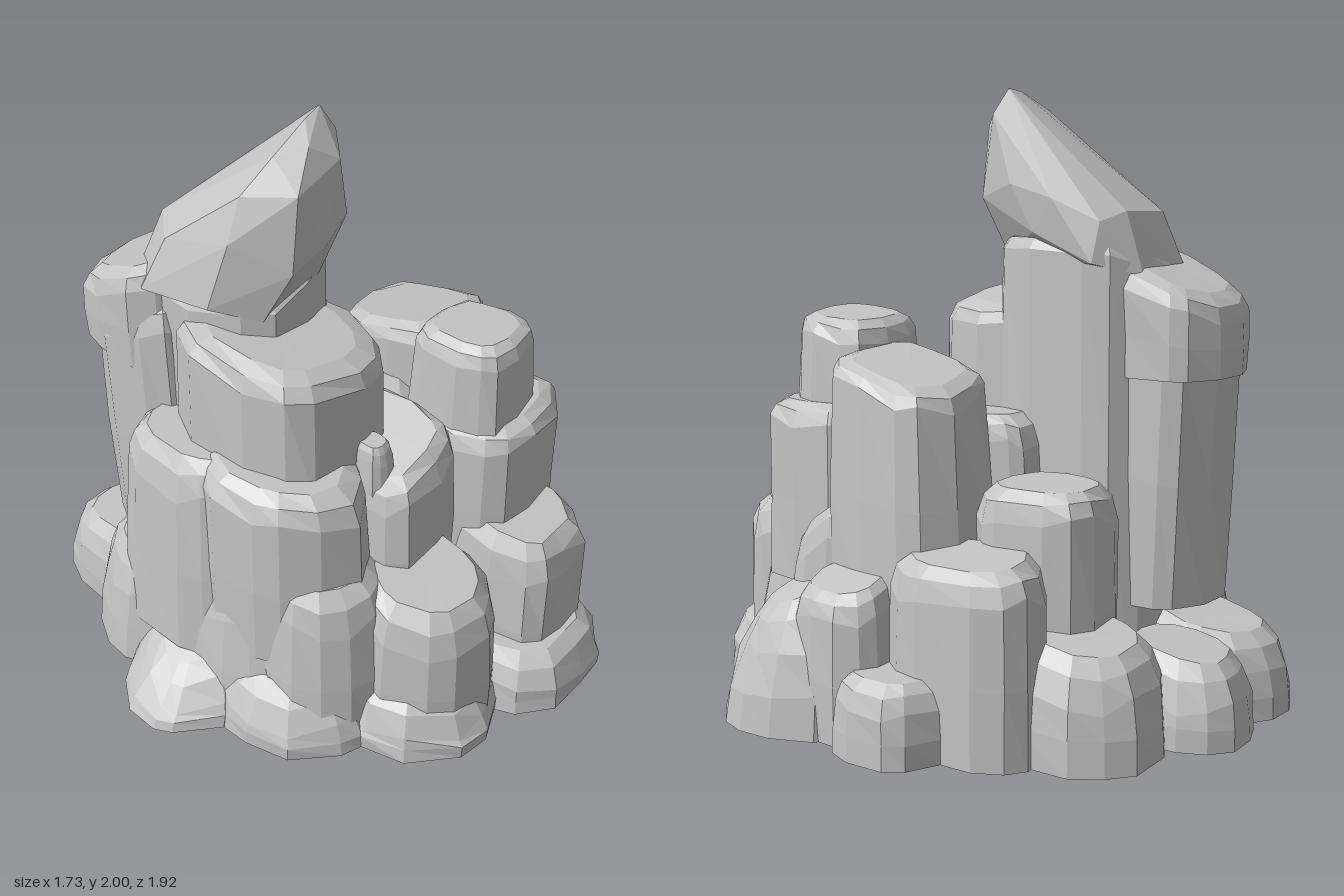
import * as THREE from 'three';
import { ConvexGeometry } from 'three/addons/geometries/ConvexGeometry.js';

// Small seeded generator so every stone keeps the same irregular outline
function seeded(seed) {
  let s = seed * 7919 + 17;
  return () => (s = (s * 16807) % 2147483647) / 2147483647;
}

// Stone lofted through rounded rings, with an uneven bevel and a tilted top.
// x, z: [min, max]; y: [bottom, top]; taper: top scale; bevel: top rounding;
// fall: height lost across the top towards +x and +z; lean: shift of the top;
// power: outline shape, from 0.6 (boxy) to 1 (oval).
function stoneGeometry({ x, z, y, taper = 0.9, bevel = 0.07, fall = [0, 0], lean = [0, 0], power = 0.74 }, seed) {
  const n = 13, rand = seeded(seed);
  for (let i = 0; i < 5; i++) rand();
  const cx = (x[0] + x[1]) / 2, cz = (z[0] + z[1]) / 2;
  const rx = (x[1] - x[0]) / 2, rz = (z[1] - z[0]) / 2, h = y[1] - y[0];
  const round = (v) => Math.sign(v) * Math.abs(v) ** power;
  const outline = Array.from({ length: n }, (_, i) => {
    const a = ((i + 0.5 * rand()) / n) * Math.PI * 2, r = 0.96 + 0.08 * rand();
    return [round(Math.cos(a)) * r, round(Math.sin(a)) * r, 0.7 + 0.7 * rand()];
  });
  const drop = (f, u) => (f > 0 ? f * (u + 1) / 2 : -f * (1 - u) / 2);
  const b = Math.min(bevel / h, 0.6);
  // Each ring: depth below the top in bevels (null for the foot), and scale
  const rings = [[null, 1], [(0.5 + b / 2) / b, 1.01], [1, 1], [0.35, 0.92], [0, 0.74]];
  const pos = [], index = [];
  const point = (u, v, t, k, wobble) => {
    const s = k * (1 + (taper - 1) * t ** 1.5) * (1 + wobble);
    const down = (drop(fall[0], u * k) + drop(fall[1], v * k)) * t;
    pos.push(cx + u * s * rx + lean[0] * t, y[0] + h * t - down, cz + v * s * rz + lean[1] * t);
  };
  rings.forEach(([d, k], j) => outline.forEach(([u, v, cut]) => {
    const t = d === null ? 0 : 1 - d * b * (j > 1 ? cut : 1);
    point(u, v, t, k, j ? (rand() - 0.5) * 0.05 : 0);
  }));
  point(0, 0, 1, 0, 0);
  point(0, 0, 0, 0, 0);
  const top = rings.length * n, last = top - n;
  for (let i = 0; i < n; i++) {
    const i2 = (i + 1) % n;
    for (let j = 0; j < rings.length - 1; j++) {
      const p = j * n, q = p + n;
      index.push(p + i, q + i, q + i2, p + i, q + i2, p + i2);
    }
    index.push(top, last + i2, last + i, top + 1, i, i2);
  }
  const g = new THREE.BufferGeometry();
  g.setAttribute('position', new THREE.Float32BufferAttribute(pos, 3));
  g.setIndex(index);
  g.computeVertexNormals();
  return g;
}

export function createModel() {
  const model = new THREE.Group();
  model.name = 'rockFormation';
  const stone = new THREE.MeshStandardMaterial({ color: 0xc4c4c4, flatShading: true });
  stone.name = 'paleGreyStone';

  const groups = {
    // Tall columns and the upper blocks
    upperStones: [
      { x: [-0.4, 0.1], z: [-0.54, 0.02], y: [0, 1.56], taper: 0.97, bevel: 0.06, fall: [-0.1, 0] },
      { x: [-0.43, -0.02], z: [-0.7, -0.26], y: [0.36, 1.4], taper: 1.04, bevel: 0.12, fall: [0, -0.16], lean: [0, -0.03] },
      { x: [-0.44, 0], z: [-0.76, -0.3], y: [1.1, 1.54], taper: 1, bevel: 0.1, fall: [0, -0.2], power: 0.8 },
      { x: [-0.51, 0.07], z: [-0.34, 0.31], y: [0.5, 1.39], taper: 0.97, bevel: 0.07, fall: [0.08, 0.03], power: 0.82 },
      { x: [0.07, 0.45], z: [0.2, 0.6], y: [0.7, 1.29], taper: 0.89, bevel: 0.06, fall: [0.02, -0.02] },
      { x: [0.18, 0.62], z: [-0.21, 0.28], y: [0.4, 1.22], taper: 0.92, bevel: 0.06, fall: [0.05, -0.11], lean: [-0.02, 0.03], power: 0.7 },
      { x: [0, 0.25], z: [-0.25, 0.28], y: [0.4, 0.97], bevel: 0.08 },
    ],
    // Middle tier
    middleStones: [
      { x: [0.05, 0.53], z: [0.2, 0.66], y: [0.4, 0.99], taper: 0.96, bevel: 0.06, power: 0.7 },
      { x: [-0.27, 0.1], z: [0.06, 0.51], y: [0.4, 1.08], taper: 0.96, bevel: 0.1, fall: [-0.14, 0.05], power: 0.68 },
      { x: [-0.62, -0.14], z: [-0.2, 0.42], y: [0.3, 1.0], taper: 0.96, bevel: 0.1, fall: [0, 0.02], power: 1 },
      { x: [-0.25, -0.13], z: [0.25, 0.4], y: [0.8, 1.04], taper: 0.8, bevel: 0.06 },
      { x: [-0.66, -0.26], z: [-0.48, 0.1], y: [0.2, 0.98], taper: 0.88, bevel: 0.12, lean: [0.03, 0], power: 0.82 },
      { x: [0.04, 0.43], z: [-0.59, -0.16], y: [0.1, 0.79], taper: 0.97, bevel: 0.09 },
      { x: [0.33, 0.71], z: [-0.56, -0.03], y: [0, 0.62], taper: 0.95, bevel: 0.1, fall: [0.03, 0], power: 0.84 },
      { x: [0.34, 0.62], z: [0.12, 0.5], y: [0, 0.78], taper: 0.78, bevel: 0.14, fall: [0.02, 0.2], lean: [0, -0.03], power: 0.85 },
    ],
    // Lower tier around the front and sides
    lowerStones: [
      { x: [0.03, 0.44], z: [0.4, 0.85], y: [0, 0.66], taper: 0.97, bevel: 0.13, fall: [0, 0.06] },
      { x: [-0.41, 0.05], z: [0.3, 0.79], y: [0, 0.64], taper: 0.94, bevel: 0.14, fall: [-0.02, 0.08], power: 0.88 },
      { x: [-0.62, -0.2], z: [0.02, 0.53], y: [0, 0.64], taper: 0.92, bevel: 0.12, lean: [0.02, -0.02], power: 0.95 },
      { x: [-0.68, -0.38], z: [-0.27, 0.28], y: [0, 0.56], taper: 0.8, bevel: 0.14, fall: [-0.05, 0], lean: [0.04, 0], power: 0.9 },
      { x: [0.34, 0.54], z: [0.4, 0.72], y: [0, 0.55], taper: 0.75, bevel: 0.12, lean: [-0.06, -0.05] },
      { x: [0.48, 0.79], z: [-0.07, 0.27], y: [0, 0.54], taper: 0.92, bevel: 0.1, fall: [0.08, 0] },
      { x: [-0.68, -0.3], z: [-0.61, -0.18], y: [0, 0.5], taper: 0.82, bevel: 0.16, fall: [-0.08, 0], lean: [0.03, 0.02], power: 1 },
    ],
    // Boulders on the ground, going round the foot
    footBoulders: [
      { x: [-0.09, 0.48], z: [0.45, 0.96], y: [0, 0.24], taper: 0.9, bevel: 0.12, fall: [0, 0.04], power: 0.84 },
      { x: [-0.49, 0.1], z: [0.2, 0.83], y: [0, 0.26], taper: 0.86, bevel: 0.13, fall: [0, 0.06], power: 1 },
      { x: [-0.72, -0.2], z: [-0.1, 0.53], y: [0, 0.29], taper: 0.78, bevel: 0.15, fall: [-0.05, 0.03], power: 1 },
      { x: [-0.88, -0.36], z: [-0.36, 0.13], y: [0, 0.34], taper: 0.72, bevel: 0.18, fall: [-0.2, 0], lean: [0.05, 0], power: 1.1 },
      { x: [-0.53, -0.06], z: [-0.93, -0.36], y: [0, 0.34], taper: 0.86, bevel: 0.15, fall: [0, -0.08], power: 1 },
      { x: [-0.19, 0.2], z: [-0.96, -0.5], y: [0, 0.32], taper: 0.87, bevel: 0.14, fall: [0, -0.07], power: 0.84 },
      { x: [0.08, 0.57], z: [-0.84, -0.3], y: [0, 0.42], taper: 0.87, bevel: 0.14, fall: [0.03, -0.07], power: 0.95 },
      { x: [0.45, 0.87], z: [-0.32, 0.06], y: [0, 0.25], taper: 0.92, bevel: 0.09, power: 0.9 },
      { x: [0.4, 0.87], z: [0.04, 0.58], y: [0, 0.54], taper: 0.66, bevel: 0.2, fall: [0.1, 0.1], lean: [-0.02, -0.02], power: 0.97 },
      { x: [0.38, 0.53], z: [0.5, 0.75], y: [0, 0.22], taper: 0.7, bevel: 0.1 },
    ],
    // Solid heart behind the outer stones
    core: [
      { x: [-0.6, 0.62], z: [-0.68, 0.7], y: [0, 0.2], power: 1 },
      { x: [-0.5, 0.5], z: [-0.5, 0.5], y: [0, 0.56], power: 1 },
    ],
  };

  let seed = 1;
  for (const [name, stones] of Object.entries(groups)) {
    const group = new THREE.Group();
    group.name = name;
    stones.forEach((s, i) => {
      const mesh = new THREE.Mesh(stoneGeometry(s, seed++), stone);
      mesh.name = `${name}${i + 1}`;
      group.add(mesh);
    });
    model.add(group);
  }

  // Leaning capstone on the tallest column
  const cap = [
    [0.03, 2.0, -0.06], [-0.05, 1.99, -0.05], [0.06, 1.92, -0.02], [-0.2, 1.93, -0.05],
    [-0.12, 1.95, 0.02], [-0.02, 1.88, 0.06], [-0.22, 1.84, 0.06], [-0.1, 1.62, 0.07],
    [-0.25, 1.58, 0.06], [0.04, 1.65, 0.04], [-0.05, 1.46, 0], [-0.3, 1.4, -0.02],
    [0.1, 1.7, -0.12], [0.09, 1.55, -0.2], [0.1, 1.66, -0.28], [0.08, 1.46, -0.42],
    [0.05, 1.59, -0.43], [-0.04, 1.62, -0.47], [-0.25, 1.61, -0.47], [-0.05, 1.42, -0.53],
    [-0.3, 1.42, -0.53], [-0.36, 1.68, -0.1], [-0.36, 1.6, -0.36], [-0.41, 1.45, -0.15],
    [-0.42, 1.42, -0.42], [-0.3, 1.82, -0.1],
  ].map((p) => new THREE.Vector3(...p));
  const capstone = new THREE.Mesh(new ConvexGeometry(cap), stone);
  capstone.name = 'capstone';
  model.add(capstone);
  return model;
}
